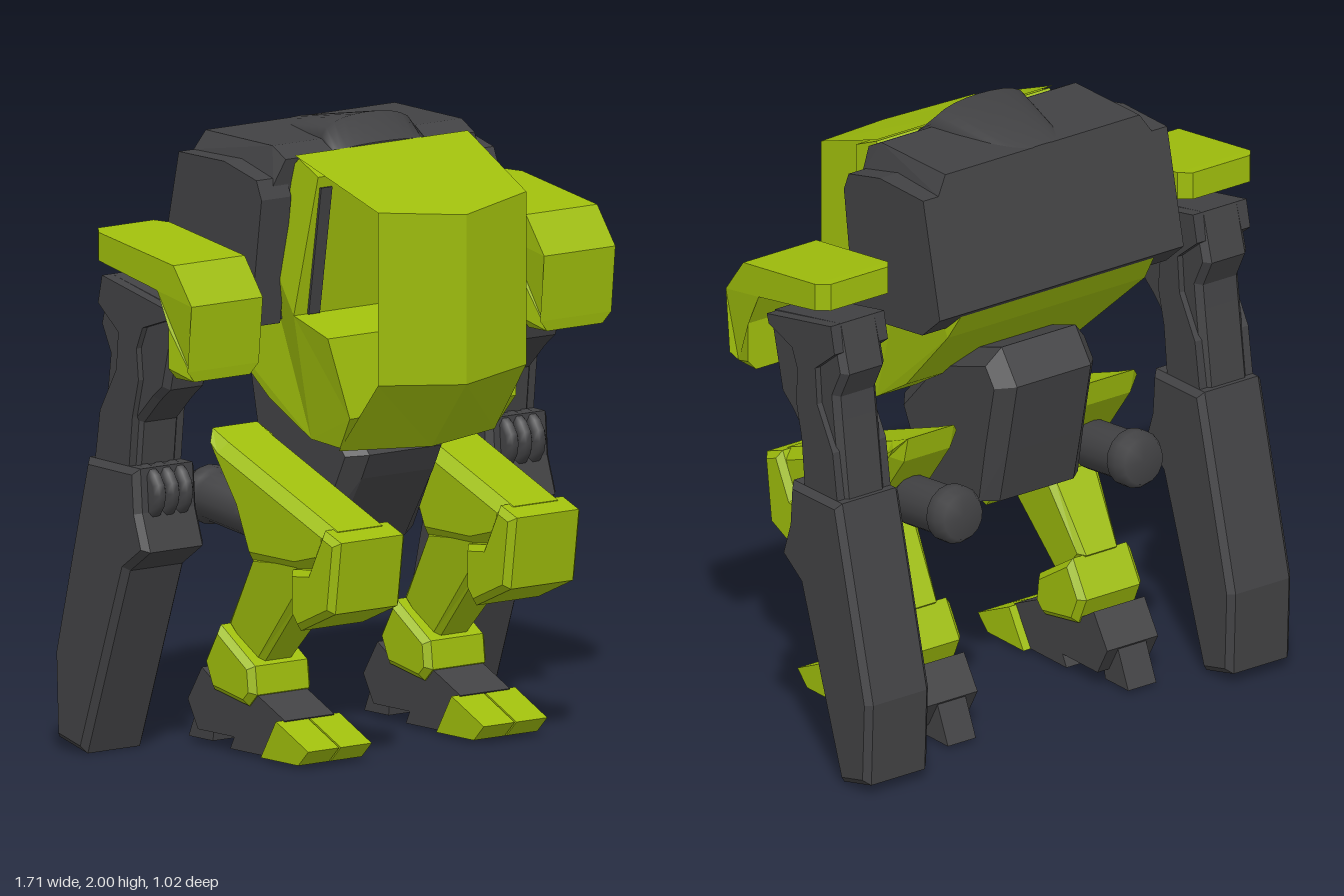
import * as THREE from 'three';

const green = new THREE.MeshStandardMaterial({ color: 0x9fbe0c, name: 'lime green' });
const dark = new THREE.MeshStandardMaterial({ color: 0x424244, name: 'charcoal' });
const greenSheet = new THREE.MeshStandardMaterial({ color: 0x9fbe0c, name: 'lime green sheet', side: THREE.DoubleSide });

const lerp = THREE.MathUtils.lerp;

// Move every vertex of a geometry by a rule
function reshape(geo, rule) {
  const p = geo.attributes.position, v = new THREE.Vector3();
  for (let i = 0; i < p.count; i++) {
    rule(v.fromBufferAttribute(p, i));
    p.setXYZ(i, v.x, v.y, v.z);
  }
  geo.computeVertexNormals();
}

// Side profile [z, y] extruded across x, with chamfered ends and an optional vertex rule
function slab(name, material, width, points, { bevel = 0, x = 0, rule } = {}) {
  const shape = new THREE.Shape(points.map(([z, y]) => new THREE.Vector2(z, y)));
  const depth = width - 2 * bevel;
  const geo = new THREE.ExtrudeGeometry(shape, {
    depth, bevelEnabled: bevel > 0, bevelThickness: bevel, bevelSize: bevel,
    bevelOffset: -bevel, bevelSegments: 1,
  });
  geo.translate(0, 0, -depth / 2).rotateY(-Math.PI / 2);
  if (rule) reshape(geo, rule);
  const mesh = new THREE.Mesh(geo, material);
  mesh.name = name;
  mesh.position.x = x;
  return mesh;
}

// Turned part from a [radius, height] profile
function turned(name, profile) {
  const geo = new THREE.LatheGeometry(profile.map(([r, y]) => new THREE.Vector2(r, y)), 16);
  const mesh = new THREE.Mesh(geo, dark);
  mesh.name = name;
  return mesh;
}

// Folded face plate: rows of [half width, side y, side z, centre y, centre z]
function facePlate() {
  const rows = [
    [0.35, 1.91, 0.09, 1.91, 0.09], [0.3, 1.77, 0.44, 1.74, 0.51],
    [0.3, 1.22, 0.44, 1.2, 0.51], [0.315, 0.99, 0.265, 0.98, 0.34],
  ].map(([w, y, z, cy, cz]) => [[-w, y, z], [0, cy, cz], [w, y, z]]);
  const pos = [];
  for (let r = 0; r < 3; r++) {
    for (let c = 0; c < 2; c++) {
      const a = rows[r][c], b = rows[r][c + 1], d = rows[r + 1][c], e = rows[r + 1][c + 1];
      pos.push(...a, ...d, ...e, ...a, ...e, ...b);
    }
  }
  const geo = new THREE.BufferGeometry();
  geo.setAttribute('position', new THREE.Float32BufferAttribute(pos, 3));
  geo.computeVertexNormals();
  const mesh = new THREE.Mesh(geo, greenSheet);
  mesh.name = 'facePlate';
  return mesh;
}

// Rounded hump narrowing to the back: stations of [z, half width, height]
function hump() {
  const stations = [[-0.31, 0.11, 0.062], [0.02, 0.19, 0.12], [0.09, 0.19, 0.035]];
  const geo = new THREE.CylinderGeometry(1, 1, 2, 24, 2).rotateX(Math.PI / 2);
  reshape(geo, (v) => {
    const [z, w, h] = stations[Math.round(v.z) + 1];
    v.set(v.x * w, 1.88 + h * Math.max(v.y, 0) ** 0.45, z);
  });
  const mesh = new THREE.Mesh(geo, dark);
  mesh.name = 'hump';
  return mesh;
}

function torso() {
  const g = new THREE.Group();
  g.name = 'torso';
  g.add(
    // cockpit hull, widest at the waist line
    slab('hull', green, 2, [
      [0.1, 1.9], [0.2, 1.855], [0.13, 1.41], [0.3, 1.36], [0.345, 1.105], [0.27, 1],
      [0.13, 1.01], [-0.05, 1.12], [-0.33, 1.39], [-0.4, 1.5], [-0.1, 1.7],
    ], {
      rule: (v) => {
        v.x *= v.y > 1.37 ? lerp(0.39, 0.34, (v.y - 1.37) / 0.54) : lerp(0.31, 0.39, (v.y - 0.98) / 0.39);
      },
    }),
    facePlate(),
    hump(),
    // back shell
    slab('shell', dark, 0.84, [
      [0.085, 1.9], [0.02, 1.935], [-0.31, 1.94], [-0.324, 1.88], [-0.41, 1.5], [-0.32, 1.42], [0.02, 1.38], [0.07, 1.82],
    ], { rule: (v) => { if (v.y > 1.89) v.x *= 0.91; } }),
    // pelvis block with chamfered corners
    slab('pelvis', dark, 0.39, [
      [0.21, 0.95], [0, 1.18], [-0.29, 1.28], [-0.37, 1.17], [-0.32, 0.93],
      [-0.28, 0.75], [0.03, 0.64], [0.17, 0.87],
    ], { bevel: 0.05, rule: (v) => { if (Math.abs(v.x) > 0.18 && v.y < 0.82) v.y -= 0.04; } }),
  );
  for (const s of [-1, 1]) {
    g.add(
      slab('sidePod', dark, 0.12, [
        [0.085, 1.78], [0.06, 1.84], [-0.1, 1.88], [-0.324, 1.88], [-0.41, 1.5], [-0.32, 1.42], [0.03, 1.37],
      ], { x: s * 0.42 }),
      slab('innerStrip', dark, 0.045, [[0.203, 1.82], [0.141, 1.41], [0.133, 1.41], [0.195, 1.82]], { x: s * 0.312 }),
    );
  }
  return g;
}

function arm(s) {
  const g = new THREE.Group();
  g.name = s > 0 ? 'leftArm' : 'rightArm';
  g.position.x = s * 0.713;
  g.add(
    // bent shoulder guard with clipped end corners
    slab('shoulderGuard', green, 0.288, [
      [-0.3, 1.68], [-0.26, 1.675], [0.11, 1.62], [0.2, 1.5], [0.18, 1.29], [0.175, 1.255],
      [0.085, 1.255], [0.085, 1.29], [0.085, 1.42], [0.03, 1.53], [-0.26, 1.585], [-0.3, 1.59],
    ], { rule: (v) => { if (v.y < 1.27 || v.z < -0.28) v.x *= 0.78; } }),
    // upper arm with a raised hourglass face on both sides
    slab('upperArm', dark, 0.17, [
      [0.05, 1.46], [-0.29, 1.53], [-0.335, 1.37], [-0.29, 1.28], [-0.3, 1.2],
      [-0.34, 0.9], [-0.15, 0.88], [-0.13, 1.08], [-0.05, 1.16], [0, 1.2], [0.05, 1.4],
    ], { bevel: 0.02 }),
    slab('upperArmFace', dark, 0.21, [
      [0.04, 1.46], [-0.29, 1.53], [-0.31, 1.44], [-0.21, 1.36], [-0.22, 1.24], [-0.3, 1.1],
      [-0.33, 0.9], [-0.16, 0.9], [-0.14, 1.1], [-0.11, 1.22], [-0.12, 1.32], [-0.09, 1.39], [0.03, 1.43],
    ]),
    slab('forearm', dark, 0.25, [
      [-0.1, 0.94], [-0.35, 0.945], [-0.51, 0.31], [-0.5, 0.035], [-0.36, 0],
      [-0.15, 0.61], [-0.05, 0.68], [-0.09, 0.8],
    ], { bevel: 0.02 }),
  );
  // ridged elbow joint
  for (const dx of [-0.055, 0, 0.055]) {
    const disc = turned('elbowRidge', [
      [0, -0.025], [0.075, -0.025], [0.09, -0.012], [0.09, 0.012], [0.075, 0.025], [0, 0.025],
    ]);
    disc.rotation.z = Math.PI / 2;
    disc.position.set(dx, 0.855, -0.14);
    g.add(disc);
  }
  return g;
}

function leg(s) {
  const g = new THREE.Group();
  g.name = s > 0 ? 'leftLeg' : 'rightLeg';
  g.position.x = s * 0.355;
  g.add(
    slab('thigh', green, 0.25, [
      [0.42, 0.77], [-0.12, 0.98], [-0.2, 1.015], [-0.18, 0.93], [-0.07, 0.78], [0, 0.62], [0.25, 0.62], [0.4, 0.66],
    ], { bevel: 0.035 }),
    slab('kneeGuard', green, 0.29, [
      [0.48, 0.745], [0.4, 0.775], [0.33, 0.64], [0.24, 0.63], [0.24, 0.49], [0.28, 0.44], [0.45, 0.515],
    ], { bevel: 0.02 }),
    slab('shin', green, 0.18, [[0.25, 0.66], [0, 0.64], [-0.15, 0.4], [-0.02, 0.26], [0.24, 0.55]], {
      bevel: 0.02,
      rule: (v) => { v.x *= lerp(0.7, 1.15, (v.y - 0.26) / 0.4); },
    }),
    slab('ankleGuard', green, 0.25, [
      [-0.14, 0.4], [-0.21, 0.28], [-0.17, 0.19], [0, 0.16], [0.04, 0.2], [0.03, 0.29],
    ], { bevel: 0.02 }),
    slab('foot', dark, 0.2, [
      [0.17, 0.135], [0.03, 0.2], [-0.16, 0.2], [-0.24, 0.25], [-0.31, 0.14], [-0.26, 0.05],
      [-0.08, 0.05], [-0.1, 0.01], [0.09, 0.01],
    ]),
    slab('heel', dark, 0.11, [[-0.22, 0.18], [-0.3, 0.15], [-0.36, 0.01], [-0.24, 0.01]]),
  );
  // split toes
  for (const dx of [-0.066, 0.066]) {
    g.add(slab('toe', green, 0.125, [[0.16, 0.135], [0.32, 0.06], [0.27, 0.01], [0.085, 0.01]], { x: dx }));
  }
  // rear thruster with a domed front and flared rim
  const thruster = turned('thruster', [
    [0, 0], [0.05, 0.015], [0.08, 0.06], [0.08, 0.24], [0.093, 0.25], [0.093, 0.29], [0.075, 0.32], [0, 0.32],
  ]);
  thruster.position.set(0, 0.745, -0.05);
  thruster.rotation.x = -Math.PI / 2 + 0.12;
  g.add(thruster);
  return g;
}

export function createModel() {
  const model = new THREE.Group();
  model.name = 'walkerRobot';
  model.add(torso());
  for (const s of [-1, 1]) model.add(arm(s), leg(s));
  return model;
}
